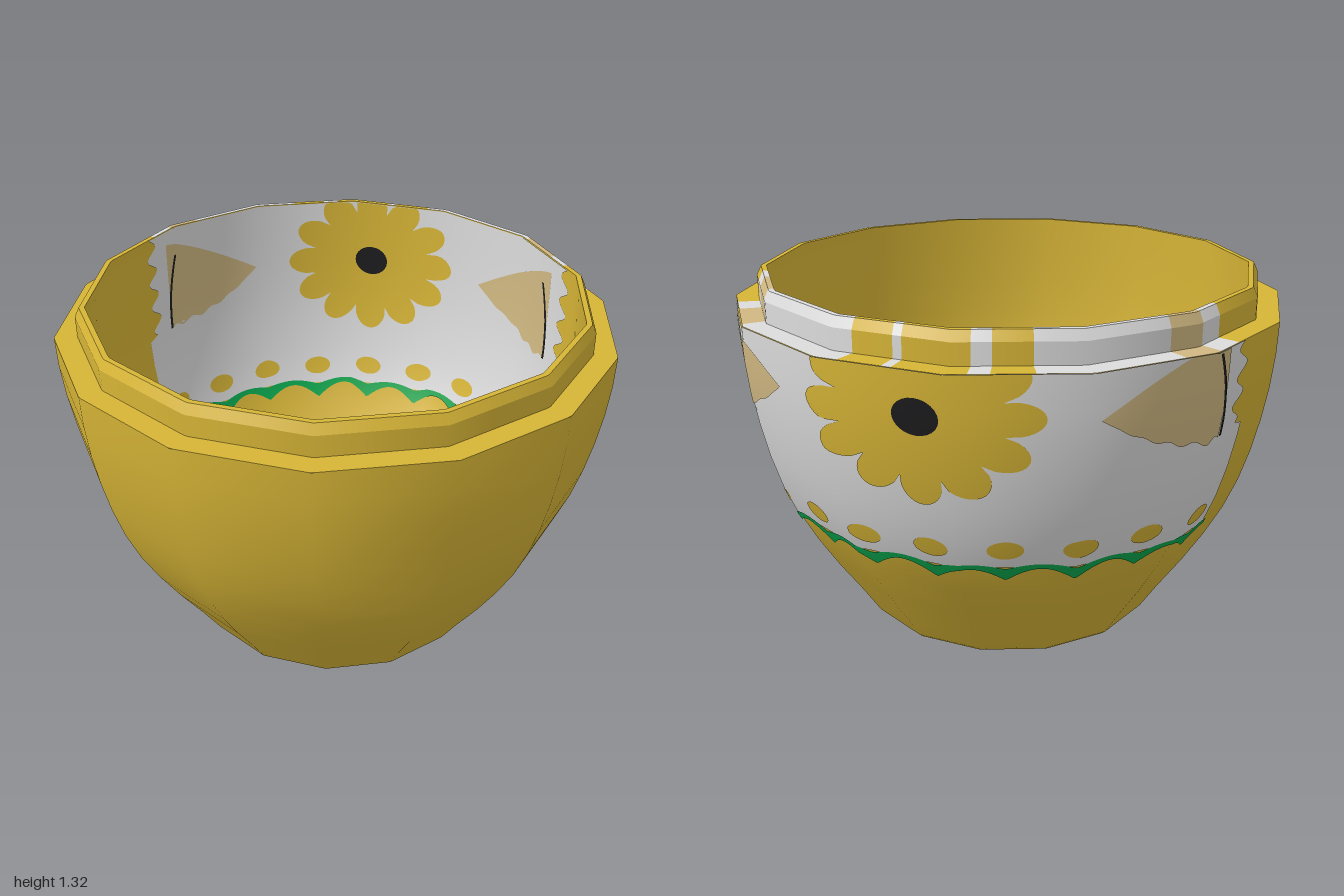
import * as THREE from 'three';

const SIDES = 14, STEP = 360 / SIDES, FIRST = -8.2; // corner angles, measured from the back (-z) towards +x
const RAD = Math.PI / 180, AXIS = -2.5;             // AXIS: centre line of the painted pattern
const lerp = (a, b, t) => a + (b - a) * t;

const mat = (name, color) => {
  const m = new THREE.MeshStandardMaterial({ color });
  m.name = name;
  return m;
};

// Profile sections [radius, y], running up the outside, over the rim and down the inside
const BASE = [[0, 0], [0.515, 0]];
const OUTER = [[0.515, 0], [0.537, 0.004], [0.555, 0.02], [0.62, 0.12], [0.71, 0.25], [0.785, 0.37], [0.85, 0.49],
  [0.9, 0.61], [0.937, 0.73], [0.965, 0.85], [0.986, 0.97], [0.999, 1.09], [1.003, 1.205]];
const LEDGE = [[1.003, 1.205], [0.922, 1.205]];
const LIP = [[0.922, 1.205], [0.922, 1.28]];
const CHAMFER = [[0.922, 1.28], [0.905, 1.315]];
const TOP = [[0.905, 1.315], [0.885, 1.315]];
const INNER = [[0.885, 1.315], [0.887, 1.2], [0.887, 1.05], [0.882, 0.92], [0.872, 0.8], [0.85, 0.66],
  [0.82, 0.53], [0.77, 0.4], [0.69, 0.26], [0.6, 0.12], [0.54, 0.03]];
const FLOOR = [[0.54, 0.03], [0, 0.03]];

// Row position on a wall at a given height
function rowAt(pts, y) {
  for (let i = 0; i < pts.length - 1; i++) {
    const a = pts[i][1], b = pts[i + 1][1];
    if ((y - a) * (y - b) <= 0 && a !== b) return i + (y - a) / (b - a);
  }
  return y > 0.6 === pts[0][1] > 0.6 ? 0 : pts.length - 1;
}

// Smooth section normal at a profile point
function pointNormal(pts, i) {
  const a = pts[Math.max(0, i - 1)], b = pts[Math.min(pts.length - 1, i + 1)];
  return new THREE.Vector2(b[1] - a[1], a[0] - b[0]).normalize();
}

// Position and normal on the fourteen-sided surface
function surface(pts, phi, row, lift) {
  const i = Math.min(Math.floor(row), pts.length - 2), t = row - i;
  const n = pointNormal(pts, i).lerp(pointNormal(pts, i + 1), t).normalize();
  const turn = (((phi - FIRST) % STEP) + STEP) % STEP - STEP / 2;
  const facet = Math.cos(STEP / 2 * RAD) / Math.cos(turn * RAD);
  const r = lerp(pts[i][0], pts[i + 1][0], t) * facet + n.x * lift;
  const y = lerp(pts[i][1], pts[i + 1][1], t) + n.y * lift;
  const s = Math.sin(phi * RAD), c = -Math.cos(phi * RAD);
  return { p: [r * s, y, r * c], n: [n.x * s, n.y, n.x * c] };
}

// Grid patch; place(u, v) returns [angle, row]
function patch(name, material, pts, nu, nv, place, lift = 0) {
  const pos = [], nor = [], index = [];
  for (let j = 0; j <= nv; j++) for (let i = 0; i <= nu; i++) {
    const q = surface(pts, ...place(i / nu, j / nv), lift);
    pos.push(...q.p);
    nor.push(...q.n);
  }
  const at = (list, k) => new THREE.Vector3().fromArray(list, k * 3);
  const tri = (a, b, c) => {
    const A = at(pos, a);
    const face = at(pos, b).sub(A).cross(at(pos, c).sub(A));
    const out = at(nor, a).add(at(nor, b)).add(at(nor, c));
    index.push(...(face.dot(out) >= 0 ? [a, b, c] : [a, c, b]));
  };
  for (let j = 0; j < nv; j++) for (let i = 0; i < nu; i++) {
    const a = j * (nu + 1) + i, b = a + nu + 1;
    tri(a, a + 1, b + 1);
    tri(a, b + 1, b);
  }
  const g = new THREE.BufferGeometry();
  g.setAttribute('position', new THREE.Float32BufferAttribute(pos, 3));
  g.setAttribute('normal', new THREE.Float32BufferAttribute(nor, 3));
  g.setIndex(index);
  const mesh = new THREE.Mesh(g, material);
  mesh.name = name;
  return mesh;
}

export function createModel() {
  const yellow = mat('yellow', 0xd6b436), white = mat('white', 0xdcdcdc), tan = mat('tan', 0xd0b882);
  const green = mat('green', 0x0aa64e), black = mat('black', 0x1c1c1e);
  const model = new THREE.Group();
  model.name = 'bowl';

  // Plain body
  for (const [name, pts] of [['base', BASE], ['outerWall', OUTER], ['innerWall', INNER], ['floor', FLOOR]]) {
    const rows = pts.length - 1;
    model.add(patch(name, yellow, pts, SIDES, rows, (u, v) => [FIRST + 360 * u, v * rows]));
  }

  // Stepped rim, coloured where the painted pattern runs over it
  const rimSpans = [[-68, white], [-61, tan], [-53, white], [-24, yellow], [-16, white], [-12, yellow],
    [2, white], [4, yellow], [13, white], [45, tan], [57, white], [63, yellow], [292]];
  for (const [name, pts] of [['ledge', LEDGE], ['lip', LIP], ['lipChamfer', CHAMFER], ['lipTop', TOP]]) {
    for (let k = 0; k < rimSpans.length - 1; k++) {
      const [from, material] = rimSpans[k], to = rimSpans[k + 1][0];
      model.add(patch(name, material, pts, Math.ceil(to - from), 1, (u, v) => [lerp(from, to, u), v]));
    }
  }

  // Painted pattern, on both faces of the wall
  const scallop = phi => Math.abs(Math.sin(Math.PI * (phi - 62) / 16.1));
  const edge = y => y < 0.9 ? 71.5 : 67.5 + 1.8 * Math.sin((y - 0.9) * 62);
  for (const [side, pts, yTop] of [['outer', OUTER, 1.205], ['inner', INNER, 1.313]]) {
    const group = new THREE.Group();
    group.name = side + 'Pattern';
    model.add(group);
    const paint = (name, material, nu, nv, lift, f) => group.add(patch(name, material, pts, nu, nv, (u, v) => {
      const [phi, y] = f(u, v);
      return [phi, rowAt(pts, Math.min(y, yTop))];
    }, lift));

    paint('whiteField', white, 200, 60, 0.004, (u, v) => {
      const y = lerp(0.5, yTop, v), e = edge(y);
      return [AXIS + lerp(-e, e, u), y];
    });
    paint('scallopBorder', green, 200, 3, 0.0065, (u, v) => {
      const phi = lerp(AXIS - 72, AXIS + 72, u), s = scallop(phi);
      return [phi, lerp(0.44 + 0.055 * s, 0.495 + 0.02 * s, v)];
    });

    // Row of dots
    for (let k = 0; k < 9; k++) {
      const centre = 62 - 16.1 * k;
      paint('dot', yellow, 20, 5, 0.0065, (u, v) => {
        const a = u * Math.PI * 2;
        return [centre + 4 * v * Math.cos(a), 0.577 + 0.038 * v * Math.sin(a)];
      });
    }

    // Flower with twelve petals
    paint('flowerPetals', yellow, 168, 18, 0.007, (u, v) => {
      const a = u * Math.PI * 2;
      const r = v * (0.7 + 0.3 * Math.pow(Math.abs(Math.cos(6 * a)), 0.6));
      return [AXIS + 23.5 * r * Math.cos(a), 1.06 + 0.31 * r * Math.sin(a)];
    });
    paint('flowerCentre', black, 24, 6, 0.0095, (u, v) => {
      const a = u * Math.PI * 2;
      return [AXIS + 4.6 * v * Math.cos(a), 1.06 + 0.062 * v * Math.sin(a)];
    });

    // Half leaves with a dark stem, mirrored about the flower
    for (const m of [-1, 1]) {
      paint('leaf', tan, 8, 40, 0.007, (u, v) => {
        const jag = 0.012 * Math.sin(v * 30);
        const low = lerp(0.895, 1.05, Math.pow(v, 2.2)) + jag * (1 - v);
        const high = lerp(1.26, 1.05, Math.pow(v, 1.3));
        return [AXIS + m * lerp(61.5, 33, v), lerp(low, high, u)];
      });
      paint('stem', black, 2, 10, 0.009, (u, v) => {
        const y = lerp(0.9, 1.2, v);
        return [AXIS + m * (62 - 4 * v * v + (u - 0.5) * 0.9), y];
      });
    }
  }
  return model;
}
